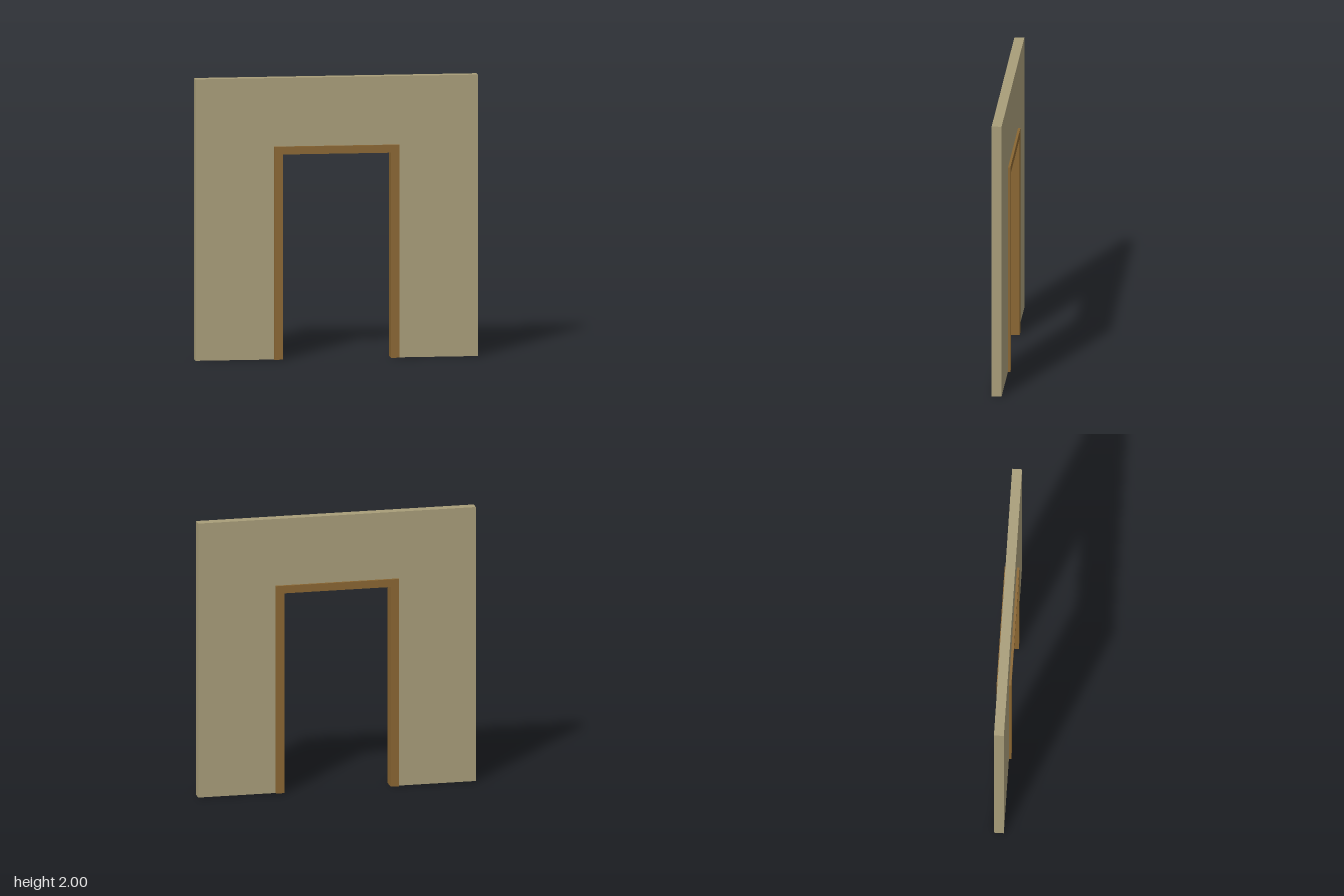
import * as THREE from 'three';

// Upside-down U outline standing on the floor
function archShape(outerX, outerY, innerX, innerY) {
  return new THREE.Shape([
    [-outerX, 0], [-innerX, 0], [-innerX, innerY], [innerX, innerY],
    [innerX, 0], [outerX, 0], [outerX, outerY], [-outerX, outerY],
  ].map(([x, y]) => new THREE.Vector2(x, y)));
}

// Extrude an outline, centred on z = 0
function slab(name, shape, depth, color) {
  const geometry = new THREE.ExtrudeGeometry(shape, { depth, bevelEnabled: false });
  geometry.translate(0, 0, -depth / 2);
  const mesh = new THREE.Mesh(geometry, new THREE.MeshStandardMaterial({ color }));
  mesh.name = name;
  return mesh;
}

export function createModel() {
  const group = new THREE.Group();
  group.name = 'doorwayWall';

  const frameX = 0.443, frameY = 1.513;

  // Wall panel with the doorway cut out
  group.add(slab('wall', archShape(1, 2, frameX, frameY), 0.07, 0xa89d79));

  // Door frame lining the opening, slightly proud of both wall faces
  group.add(slab('doorFrame', archShape(frameX, frameY, 0.383, 1.458), 0.104, 0x8a6632));

  return group;
}
